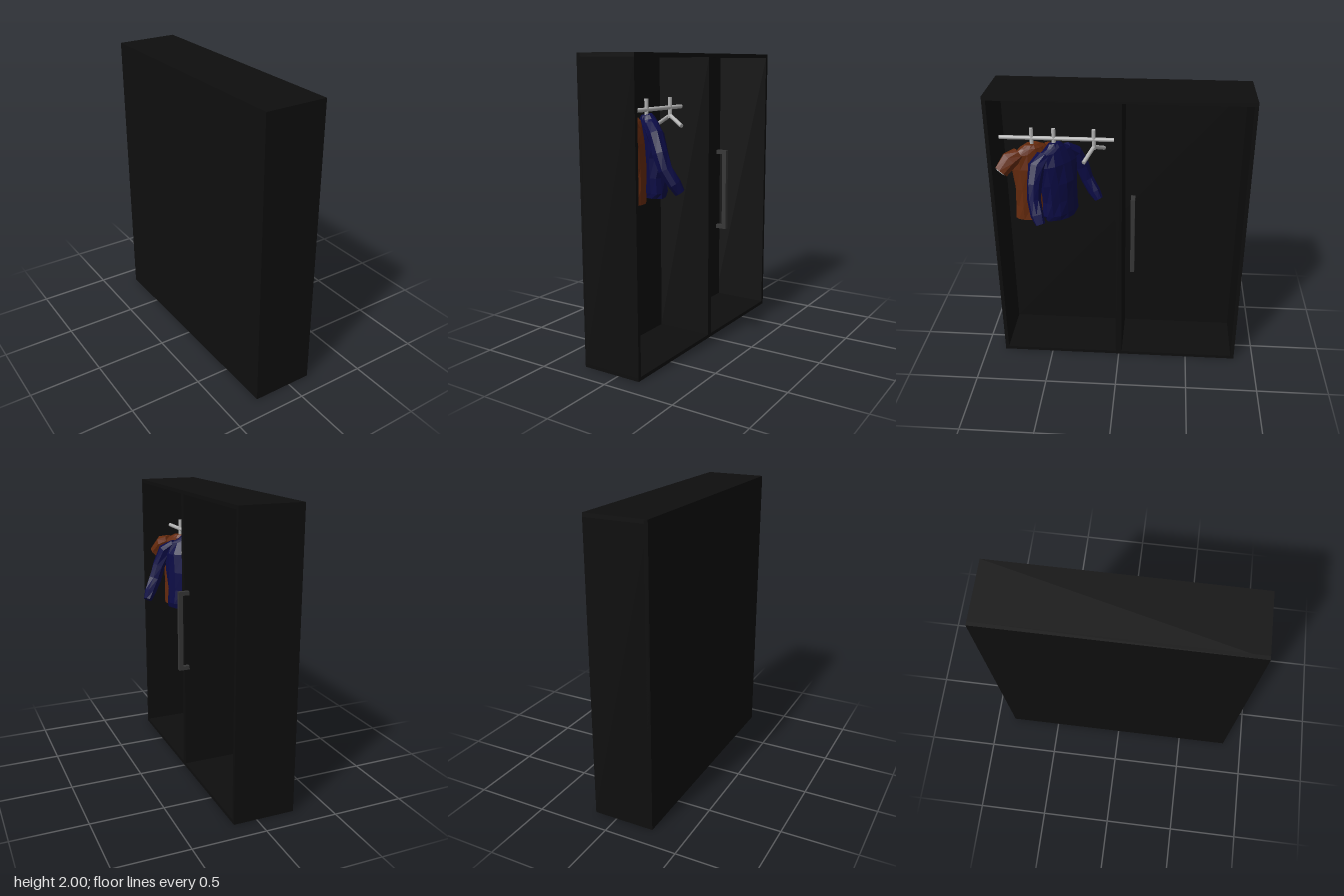
import * as THREE from 'three';

const material = (name, color) => {
  const m = new THREE.MeshStandardMaterial({ color });
  m.name = name;
  return m;
};

// Faceted closed tube through stations [x, y, z, halfWidth, halfDepth], with slight cloth folds
function clothGeometry(stations, sides, fold) {
  const centres = stations.map(s => new THREE.Vector3(s[0], s[1], s[2]));
  const last = centres.length - 1;
  const rings = stations.map((s, i) => {
    const t = centres[Math.min(i + 1, last)].clone().sub(centres[Math.max(i - 1, 0)]).normalize();
    const u = new THREE.Vector3(0, 0, 1).addScaledVector(t, -t.z).normalize();
    const v = t.clone().cross(u);
    return Array.from({ length: sides }, (_, j) => {
      const a = (j / sides) * Math.PI * 2;
      const k = 1 + fold * Math.sin(j * 2.4 + i * 1.9);
      return centres[i].clone()
        .addScaledVector(u, Math.cos(a) * s[4] * k)
        .addScaledVector(v, Math.sin(a) * s[3] * k);
    });
  });
  const points = [];
  for (let j = 0; j < sides; j++) {
    const n = (j + 1) % sides;
    points.push(centres[0], rings[0][n], rings[0][j]);
    for (let i = 0; i < last; i++) {
      const a = rings[i][j], b = rings[i][n], c = rings[i + 1][n], d = rings[i + 1][j];
      points.push(a, b, c, a, c, d);
    }
    points.push(centres[last], rings[last][j], rings[last][n]);
  }
  const g = new THREE.BufferGeometry().setFromPoints(points);
  g.computeVertexNormals();
  return g;
}

export function createModel() {
  const model = new THREE.Group();
  model.name = 'wardrobe';
  const black = material('cabinet black', 0x0e0e0e);
  const charcoal = material('handle charcoal', 0x363636);
  const grey = material('hanger grey', 0xb4b4b4);
  const blue = material('jacket navy', 0x0b0b45);
  const rust = material('shirt rust', 0x652a0d);

  const add = (parent, name, geometry, mat, x = 0, y = 0, z = 0) => {
    const mesh = new THREE.Mesh(geometry, mat);
    mesh.name = name;
    mesh.position.set(x, y, z);
    parent.add(mesh);
    return mesh;
  };
  // Box given by its lower and upper limits on each axis
  const box = (parent, name, mat, [x0, x1], [y0, y1], [z0, z1]) =>
    add(parent, name, new THREE.BoxGeometry(x1 - x0, y1 - y0, z1 - z0), mat,
      (x0 + x1) / 2, (y0 + y1) / 2, (z0 + z1) / 2);

  // Cabinet, open towards +x
  const w = 0.025;
  const depth = [-0.265, 0.16];
  box(model, 'backPanel', black, [-0.265, -0.24], [0, 2], [-0.86, 0.86]);
  box(model, 'floorPanel', black, depth, [0, w], [-0.86, 0.86]);
  box(model, 'topPanel', black, depth, [2 - w, 2], [-0.86, 0.86]);
  box(model, 'leftSidePanel', black, depth, [w, 2 - w], [0.86 - w, 0.86]);
  box(model, 'rightSidePanel', black, depth, [w, 2 - w], [-0.86, -0.86 + w]);
  box(model, 'divider', black, [-0.24, 0.16], [w, 2 - w], [-0.022, 0.022]);

  // Pull handle
  const handle = new THREE.Group();
  handle.name = 'handle';
  model.add(handle);
  box(handle, 'handleGrip', charcoal, [0.205, 0.235], [0.79, 1.345], [-0.113, -0.085]);
  for (const y of [0.79, 1.318])
    box(handle, 'handleMount', charcoal, [0.16, 0.205], [y, y + 0.027], [-0.113, -0.085]);

  // Clothes rod
  const rodX = -0.05;
  add(model, 'rod', new THREE.CylinderGeometry(0.014, 0.014, 0.775, 12), grey, rodX, 1.645, 0.4325)
    .rotation.x = Math.PI / 2;

  // Hangers, each turned about its post
  const makeHanger = (name, z, turn) => {
    const g = new THREE.Group();
    g.name = name;
    g.position.set(rodX, 0, z);
    g.rotation.y = turn;
    model.add(g);
    add(g, 'hangerPost', new THREE.CylinderGeometry(0.014, 0.014, 0.14, 8), grey, 0, 1.645, 0);
    for (const s of [-1, 1])
      add(g, 'hangerArm', new THREE.CylinderGeometry(0.014, 0.014, 0.155, 8), grey, s * 0.07, 1.562, 0)
        .rotation.z = s * 1.16;
    return g;
  };
  makeHanger('emptyHanger', 0.18, -0.42);

  // Mirrored pair of sleeves
  const sleeves = (parent, name, mat, path, fold) => {
    for (const s of [-1, 1])
      add(parent, name, clothGeometry(path.map(p => [s * p[0], ...p.slice(1)]), 8, fold), mat);
  };

  // Long-sleeved jacket
  const jacket = makeHanger('jacket', 0.45, 2.42);
  add(jacket, 'jacketBody', clothGeometry([
    [0, 1.615, 0, 0.045, 0.035], [0, 1.59, 0.005, 0.075, 0.05], [0, 1.56, 0.01, 0.135, 0.06],
    [0, 1.48, 0.025, 0.165, 0.075], [0, 1.35, 0.035, 0.15, 0.082], [0, 1.22, 0.04, 0.142, 0.08],
    [0, 1.12, 0.045, 0.145, 0.08], [0, 1.085, 0.045, 0.132, 0.072],
  ], 14, 0.05), blue);
  sleeves(jacket, 'jacketSleeve', blue, [
    [0.1, 1.555, 0.005, 0.035, 0.05], [0.17, 1.5, 0.015, 0.055, 0.055], [0.215, 1.39, 0.035, 0.048, 0.052],
    [0.24, 1.29, 0.06, 0.046, 0.046], [0.26, 1.2, 0.11, 0.044, 0.044], [0.267, 1.145, 0.145, 0.03, 0.034],
  ], 0.07);

  // Short-sleeved shirt
  const shirt = makeHanger('shirt', 0.6, 2.16);
  add(shirt, 'shirtBody', clothGeometry([
    [0, 1.605, 0, 0.05, 0.035], [0, 1.585, 0, 0.09, 0.05], [0, 1.55, 0, 0.14, 0.06],
    [0, 1.45, 0, 0.152, 0.075], [0, 1.3, 0, 0.142, 0.08], [0, 1.17, 0, 0.14, 0.08],
    [0, 1.07, 0, 0.145, 0.082],
  ], 14, 0.04), rust);
  sleeves(shirt, 'shirtSleeve', rust, [
    [0.1, 1.55, 0, 0.045, 0.05], [0.165, 1.52, 0, 0.062, 0.058], [0.235, 1.45, 0, 0.048, 0.05],
  ], 0.05);
  sleeves(shirt, 'sleeveLining', grey, [
    [0.22, 1.465, 0, 0.035, 0.036], [0.239, 1.446, 0, 0.035, 0.036],
  ], 0);

  return model;
}
